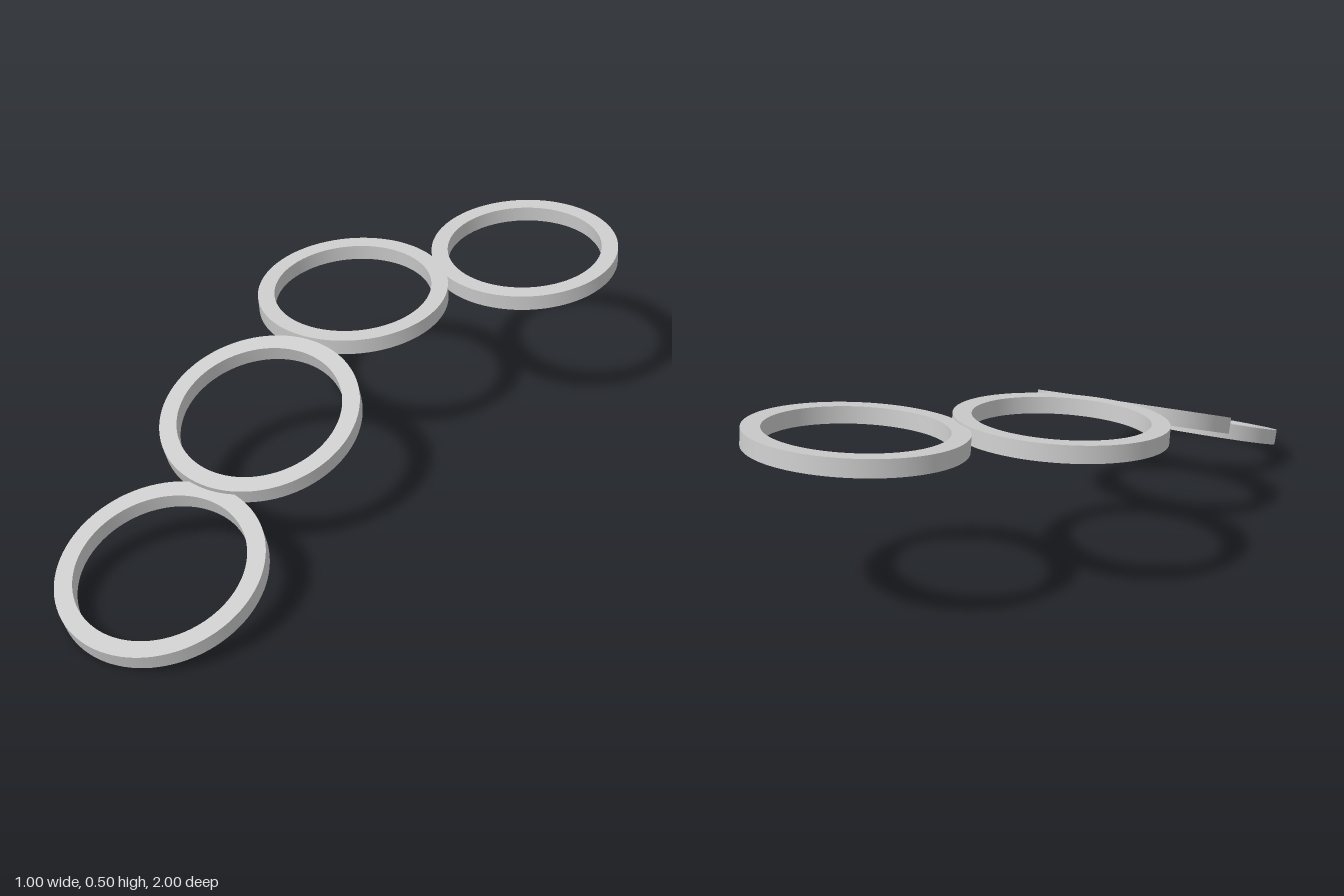
import * as THREE from 'three';
import { toCreasedNormals } from 'three/addons/utils/BufferGeometryUtils.js';

const OUTER = 0.281, INNER = 0.232, HALF = 0.023;

export function createModel() {
  const group = new THREE.Group();
  group.name = 'ringChain';
  const material = new THREE.MeshStandardMaterial({ color: 0xcccccc });

  // Flat band with a rectangular section, turned around its axis
  const section = [
    [INNER, -HALF], [OUTER, -HALF], [OUTER, HALF], [INNER, HALF], [INNER, -HALF],
  ].map(([r, y]) => new THREE.Vector2(r, y));
  const ringGeometry = toCreasedNormals(new THREE.LatheGeometry(section, 96), 0.6);

  // Each ring: centre, then the rise of its plane along x and along z
  const rings = [
    { name: 'frontRing', at: [-0.219, 0.109, 0.724], rise: [0.064, -0.315] },
    { name: 'secondRing', at: [-0.197, 0.292, 0.212], rise: [0.037, -0.335] },
    { name: 'thirdRing', at: [-0.175, 0.409, -0.334], rise: [0.035, -0.088] },
    { name: 'backRing', at: [0.217, 0.451, -0.719], rise: [0.035, -0.088] },
  ];
  const up = new THREE.Vector3(0, 1, 0);
  for (const { name, at, rise } of rings) {
    const ring = new THREE.Mesh(ringGeometry, material);
    ring.name = name;
    ring.position.set(...at);
    const normal = new THREE.Vector3(-rise[0], 1, -rise[1]).normalize();
    ring.quaternion.setFromUnitVectors(up, normal);
    group.add(ring);
  }
  return group;
}
